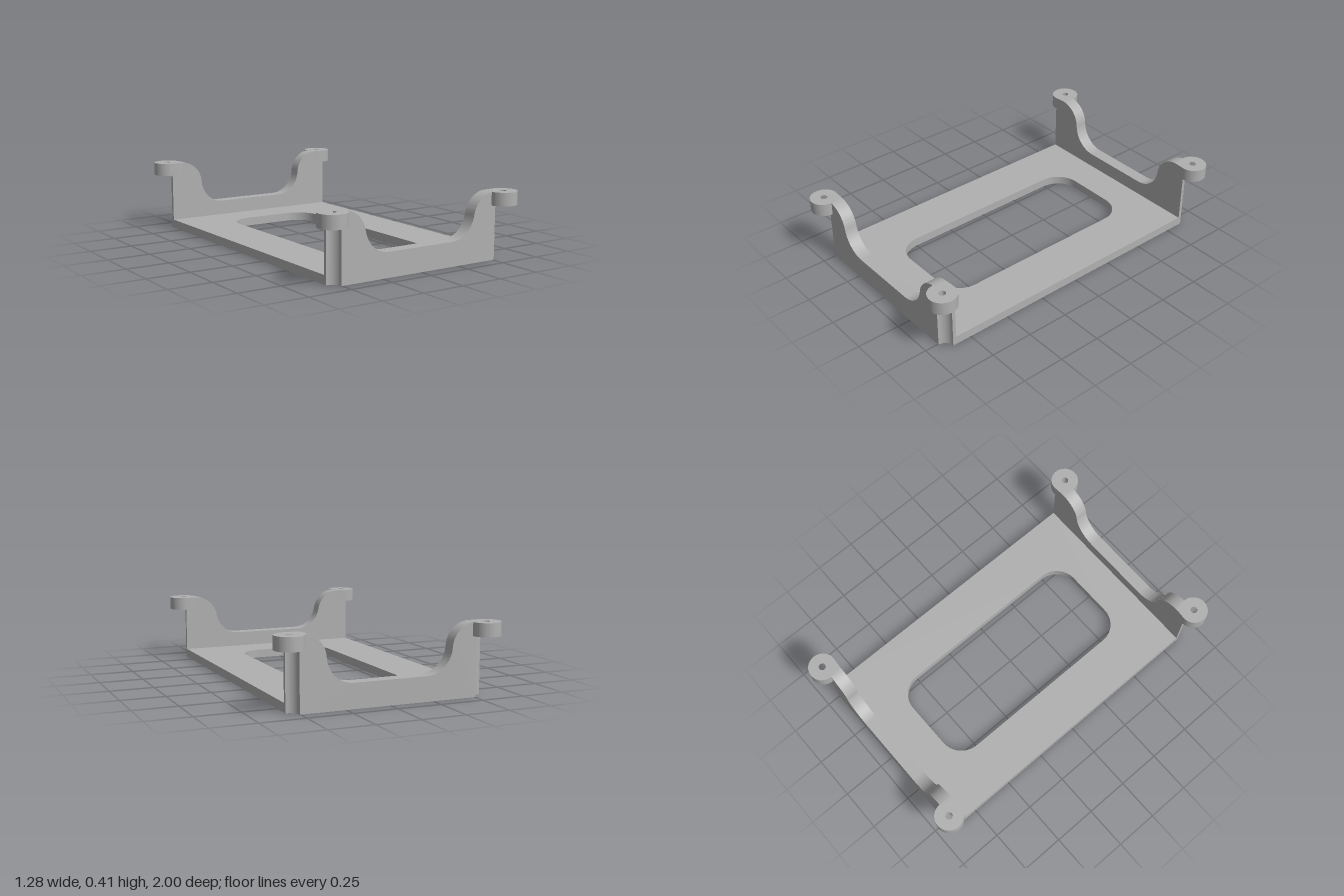
import * as THREE from 'three';
import { toCreasedNormals } from 'three/addons/utils/BufferGeometryUtils.js';

const HALF_X = 0.56, Z_IN = 0.845, Z_OUT = 0.92;
const BOSS_R = 0.08, HOLE_R = 0.02, GROOVE_R = 0.055, BOSS_H = 0.075;
const WALL_END = HALF_X - GROOVE_R;

// points along an arc, in order
function arc(cx, cy, r, a0, a1, n = 20) {
  return Array.from({ length: n + 1 }, (_, i) => {
    const a = a0 + (a1 - a0) * i / n;
    return new THREE.Vector2(cx + r * Math.cos(a), cy + r * Math.sin(a));
  });
}
const v = (x, y) => new THREE.Vector2(x, y);

function extrude(shape, depth) {
  return new THREE.ExtrudeGeometry(shape, { depth, bevelEnabled: false, curveSegments: 24 });
}

// extrude a footprint drawn in x/z between two heights
function footprint(shape, y0, y1) {
  const g = extrude(shape, y1 - y0);
  g.rotateX(Math.PI / 2).translate(0, y1, 0);
  return toCreasedNormals(g, 0.5);
}

export function createModel() {
  const model = new THREE.Group();
  model.name = 'mountingBracket';
  const grey = new THREE.MeshStandardMaterial({ color: 0xb0b0b0 });
  grey.name = 'grey';
  const add = (name, geometry) => {
    const mesh = new THREE.Mesh(geometry, grey);
    mesh.name = name;
    model.add(mesh);
  };
  const { PI } = Math;

  // base plate with a rounded window
  const plate = new THREE.Shape([v(-HALF_X, -Z_IN), v(HALF_X, -Z_IN), v(HALF_X, Z_IN), v(-HALF_X, Z_IN)]);
  const r = 0.14, wx = 0.28 - r, wz = 0.64 - r;
  plate.holes.push(new THREE.Path([
    ...arc(wx, wz, r, 0, PI / 2), ...arc(-wx, wz, r, PI / 2, PI),
    ...arc(-wx, -wz, r, PI, 1.5 * PI), ...arc(wx, -wz, r, 1.5 * PI, 2 * PI)]));
  add('basePlate', footprint(plate, 0, 0.05));

  // the back end stands slightly higher than the front
  for (const [end, sz, top, cy, cr] of [['front', 1, 0.38, 0.242, 0.138], ['back', -1, 0.405, 0.2695, 0.1355]]) {
    // end wall with an S-curved saddle
    const a = Math.atan2(cy - 0.287, 0.285);
    const half = [
      ...arc(0.21, 0.287, 0.15, -PI / 2, a),
      ...arc(0.495, cy, cr, a + PI, PI / 2),
      v(WALL_END, top), v(WALL_END, 0)];
    const mirrored = half.map(p => v(-p.x, p.y)).reverse();
    const wall = extrude(new THREE.Shape([...half, ...mirrored]), Z_OUT - Z_IN);
    wall.translate(0, 0, sz > 0 ? Z_IN : -Z_OUT);
    add(end + 'Wall', toCreasedNormals(wall, 0.5));

    for (const [side, sx] of [['Left', 1], ['Right', -1]]) {
      const place = pts => pts.map(p => v(p.x * sx, p.y * sz));

      // corner post with a concave groove under the screw hole
      const post = new THREE.Shape(place([
        v(WALL_END, Z_IN), v(HALF_X, Z_IN),
        ...arc(HALF_X, Z_OUT, GROOVE_R, 1.5 * PI, PI)]));
      add(end + side + 'Post', footprint(post, 0, top - BOSS_H));

      // round screw boss merging into the wall
      const boss = new THREE.Shape(place([
        ...arc(HALF_X, Z_OUT, BOSS_R, -PI / 2, PI, 48), v(0.495, Z_IN)]));
      boss.holes.push(new THREE.Path(place(arc(HALF_X, Z_OUT, HOLE_R, 0, 2 * PI, 24).slice(0, -1))));
      add(end + side + 'Boss', footprint(boss, top - BOSS_H, top));
    }
  }
  return model;
}
